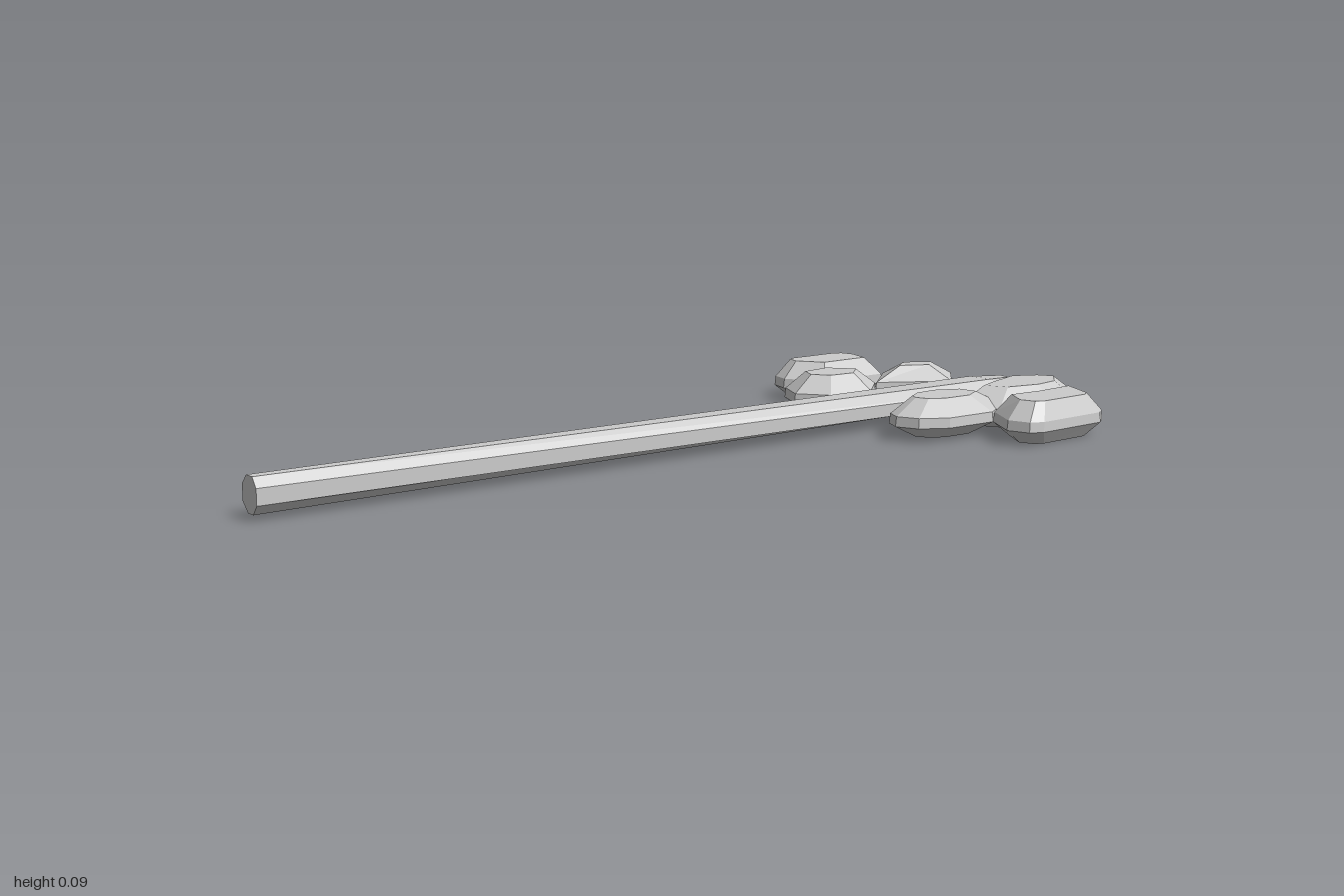
import * as THREE from 'three';

const material = new THREE.MeshStandardMaterial({ color: 0xcccccc, flatShading: true });

// Skin a stack of equal-length rings and close both ends with a fan.
function loft(name, rings) {
  const n = rings[0].length, pos = rings.flat(2), idx = [];
  for (let r = 0; r < rings.length - 1; r++) {
    for (let i = 0; i < n; i++) {
      const a = r * n + i, b = r * n + (i + 1) % n;
      idx.push(a, b, b + n, a, b + n, a + n);
    }
  }
  [0, rings.length - 1].forEach((r) => {
    const c = pos.length / 3;
    for (let k = 0; k < 3; k++) pos.push(rings[r].reduce((s, p) => s + p[k], 0) / n);
    for (let i = 0; i < n; i++) {
      const a = r * n + i, b = r * n + (i + 1) % n;
      if (r === 0) idx.push(c, b, a); else idx.push(c, a, b);
    }
  });
  const geo = new THREE.BufferGeometry();
  geo.setAttribute('position', new THREE.Float32BufferAttribute(pos, 3));
  geo.setIndex(idx);
  const flat = geo.toNonIndexed();
  flat.computeVertexNormals();
  const mesh = new THREE.Mesh(flat, material);
  mesh.name = name;
  return mesh;
}

// Chiselled lobe: an [x, z] outline as a blunt rim, shrunk towards top and bottom.
function lobe(name, outline, sx, sz, top = 0.096, bottom = 0.003) {
  // Outlines run anticlockwise seen from above.
  const area = outline.reduce((s, p, i) => {
    const q = outline[(i + 1) % outline.length];
    return s + p[0] * q[1] - q[0] * p[1];
  }, 0);
  const pts = area > 0 ? [...outline].reverse() : outline;
  const cx = pts.reduce((s, p) => s + p[0], 0) / pts.length;
  const cz = pts.reduce((s, p) => s + p[1], 0) / pts.length;
  const ring = (y, kx, kz) => pts.map(([x, z]) => [cx + (x - cx) * kx, y, cz + (z - cz) * kz]);
  return loft(name, [
    ring(bottom, sx, sz),
    ring(0.034, 1, 1),
    ring(0.056, 0.98, 0.98),
    ring(top, sx, sz),
  ]);
}

export function createModel() {
  const group = new THREE.Group();

  // Tapered shaft, wide and flattened towards the jagged rear tip
  const front = [[0.012, 0.085], [-0.012, 0.085], [-0.03, 0.066], [-0.03, 0.034],
    [-0.01, 0.015], [0.01, 0.015], [0.026, 0.034], [0.026, 0.066]];
  const rear = [[0.045, 0.077], [-0.03, 0.074], [-0.078, 0.052], [-0.078, 0.028],
    [-0.035, 0.022], [0.035, 0.022], [0.072, 0.028], [0.072, 0.055]];
  const tipZ = [-0.95, -0.97, -0.93, -0.94, -0.96, -0.95, -0.92, -0.92];
  group.add(loft('shaft', [
    rear.map(([x, y], i) => [x * 0.55, 0.048 + (y - 0.048) * 0.8, tipZ[i]]),
    rear.map(([x, y]) => [x, y, -0.87]),
    front.map(([x, y]) => [x, y, 1]),
  ]));

  // Left cluster: rear and front lobes fused at a waist
  group.add(lobe('leftRearLobe', [[0.07, -0.88], [0.12, -0.97], [0.18, -1], [0.27, -0.91],
    [0.29, -0.8], [0.26, -0.66], [0.17, -0.62], [0.13, -0.71]], 0.55, 0.6));
  group.add(lobe('leftFrontLobe', [[0.14, -0.71], [0.095, -0.61], [0.1, -0.51], [0.14, -0.44],
    [0.18, -0.42], [0.23, -0.44], [0.265, -0.5], [0.27, -0.63], [0.22, -0.72]], 0.55, 0.55, 0.092, 0.006));
  group.add(lobe('leftOuterLobe', [[0.27, -0.9], [0.4, -0.84], [0.42, -0.81], [0.424, -0.62],
    [0.41, -0.59], [0.36, -0.575], [0.27, -0.63], [0.28, -0.75]], 0.66, 0.7));

  // Right cluster: two separate lobes meeting at a point, plus the outer one
  group.add(lobe('rightRearLobe', [[-0.08, -0.87], [-0.18, -0.97], [-0.28, -0.83],
    [-0.18, -0.71]], 0.35, 0.4, 0.09, 0.01));
  group.add(lobe('rightFrontLobe', [[-0.18, -0.71], [-0.1, -0.62], [-0.11, -0.5], [-0.18, -0.45],
    [-0.26, -0.49], [-0.28, -0.63]], 0.55, 0.55));
  group.add(lobe('rightOuterLobe', [[-0.27, -0.82], [-0.36, -0.845], [-0.41, -0.835], [-0.424, -0.8],
    [-0.424, -0.62], [-0.41, -0.59], [-0.36, -0.575], [-0.27, -0.63]], 0.66, 0.7));

  return group;
}
